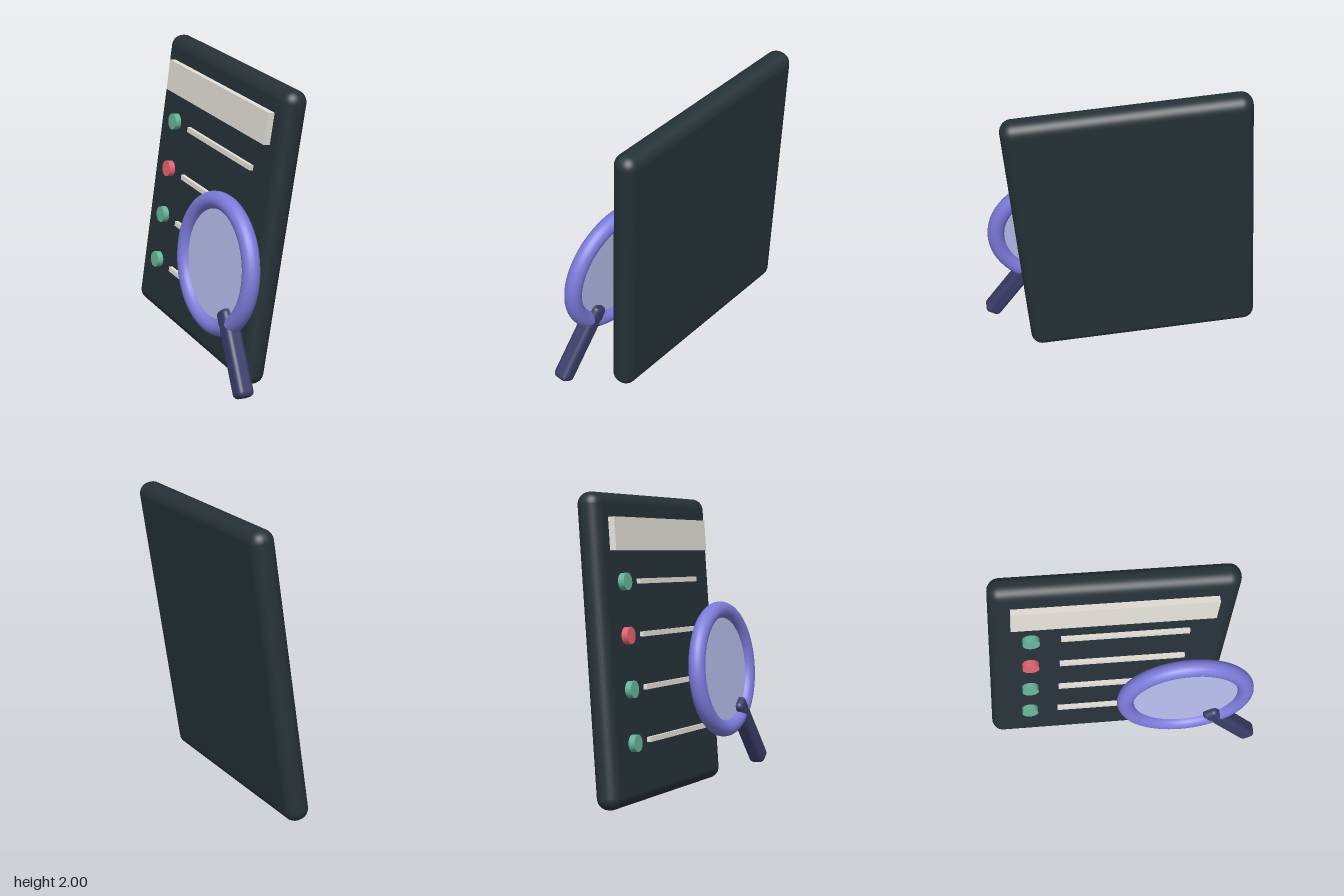
import * as THREE from 'three';
import { RoundedBoxGeometry } from 'three/addons/geometries/RoundedBoxGeometry.js';

const paint = (color) => new THREE.MeshStandardMaterial({ color });

export function createModel() {
  const model = new THREE.Group();
  model.name = 'checklistWithMagnifier';

  // Everything shares one tilted frame
  const tilted = new THREE.Group();
  tilted.name = 'tiltedBoard';
  tilted.position.set(-0.005, 1, -0.165);
  tilted.rotation.set(-0.114, -0.345, -0.113);
  model.add(tilted);

  const slate = paint(0x263238);
  const paper = paint(0xe4e0d8);
  const green = paint(0x66b499);
  const red = paint(0xe4636f);
  const violet = paint(0x7c7bda);
  const navy = paint(0x3a3d68);
  const glass = paint(0xb7bdec);

  const add = (name, geometry, material, x, y, z, parent = tilted) => {
    const mesh = new THREE.Mesh(geometry, material);
    mesh.name = name;
    mesh.position.set(x, y, z);
    parent.add(mesh);
    return mesh;
  };

  // Board and title strip
  add('board', new RoundedBoxGeometry(1.51, 1.91, 0.16, 6, 0.075), slate, 0, 0, 0);
  add('titleStrip', new THREE.BoxGeometry(1.25, 0.2, 0.06), paper, 0, 0.7, 0.092);

  // Four rows: status dot and text bar
  const dot = new THREE.CylinderGeometry(0.053, 0.053, 0.05, 32).rotateX(Math.PI / 2);
  const bar = new THREE.BoxGeometry(0.8, 0.032, 0.04);
  for (let i = 0; i < 4; i++) {
    const y = 0.41 - i * 0.328;
    add('statusDot', dot, i === 1 ? red : green, -0.5, y, 0.095);
    add('textBar', bar, paper, 0.085, y, 0.085);
  }

  // Magnifier floating in front, parallel to the board
  const magnifier = new THREE.Group();
  magnifier.name = 'magnifier';
  magnifier.position.set(0.5, -0.2, 0.25);
  tilted.add(magnifier);
  add('rim', new THREE.TorusGeometry(0.395, 0.055, 20, 64), violet, 0, 0, 0, magnifier);
  add('lens', new THREE.CylinderGeometry(0.37, 0.37, 0.02, 64).rotateX(Math.PI / 2), glass, 0, 0, 0, magnifier);

  // Handle points radially away from the rim
  const angle = 0.655;
  const reach = 0.565;
  const handle = add('handle', new RoundedBoxGeometry(0.11, 0.55, 0.11, 5, 0.032), navy,
    Math.sin(angle) * reach, -Math.cos(angle) * reach, 0, magnifier);
  handle.rotation.z = angle;

  return model;
}
